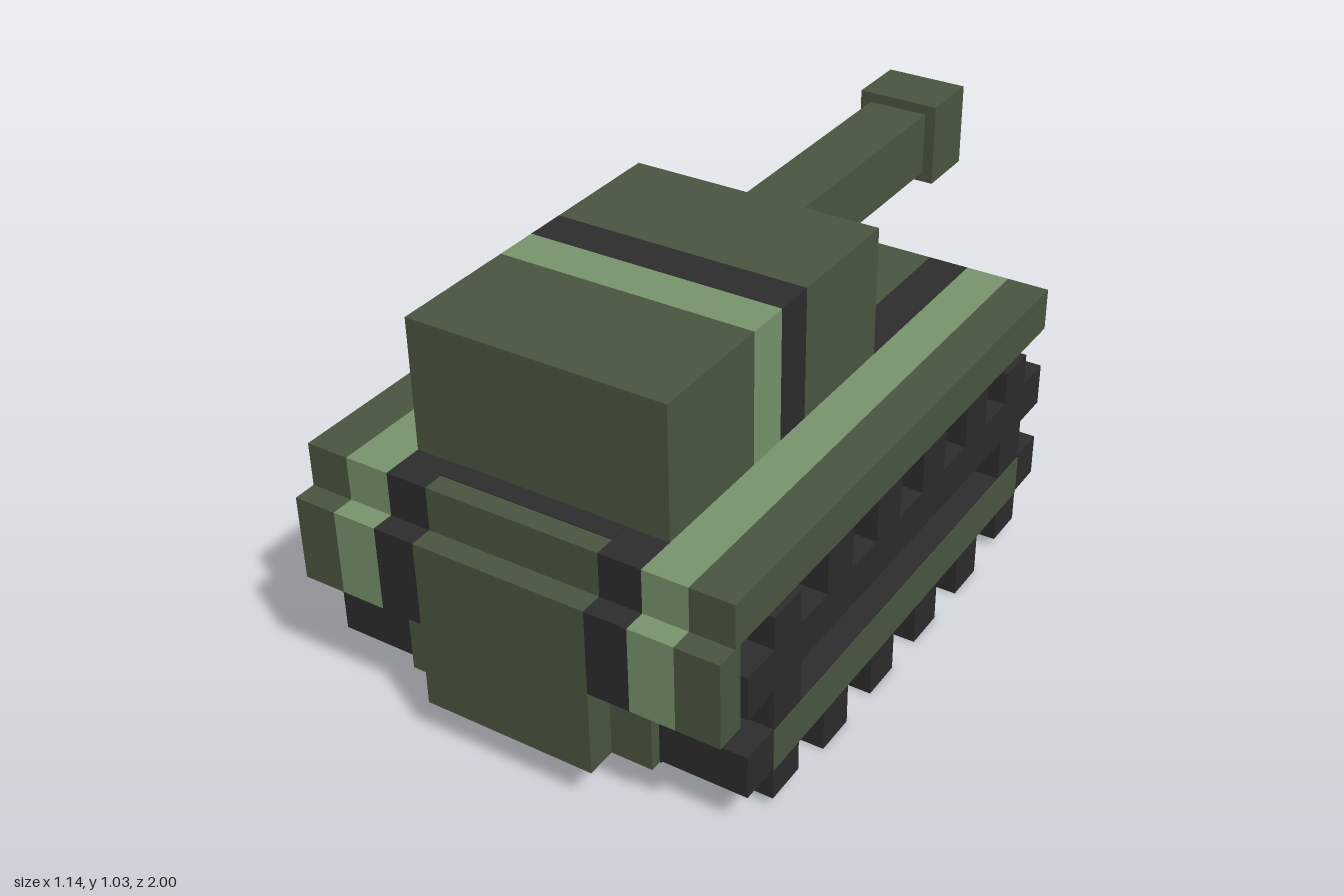
import * as THREE from 'three';

const green = new THREE.MeshStandardMaterial({ color: 0x4b5741 });
green.name = 'armour green';
const light = new THREE.MeshStandardMaterial({ color: 0x79956f });
light.name = 'stripe light green';
const dark = new THREE.MeshStandardMaterial({ color: 0x2d2d2d });
dark.name = 'track black';

// Box given by its min and max on each axis
function box(parent, name, material, x0, x1, y0, y1, z0, z1) {
  const mesh = new THREE.Mesh(new THREE.BoxGeometry(x1 - x0, y1 - y0, z1 - z0), material);
  mesh.position.set((x0 + x1) / 2, (y0 + y1) / 2, (z0 + z1) / 2);
  mesh.name = name;
  parent.add(mesh);
  return mesh;
}

// Same box on both sides of the model
function pair(parent, name, material, x0, x1, ...yz) {
  box(parent, name + 'Left', material, x0, x1, ...yz);
  box(parent, name + 'Right', material, -x1, -x0, ...yz);
}

function addGroup(parent, name) {
  const group = new THREE.Group();
  group.name = name;
  parent.add(group);
  return group;
}

function buildHull(model) {
  const hull = addGroup(model, 'hull');
  box(hull, 'hullCentre', green, -0.23, 0.23, 0.115, 0.57, -0.6, 1);
  pair(hull, 'hullSide', green, 0.23, 0.34, 0.115, 0.57, -0.49, 0.92);

  // Deck and front apron, made of lengthwise colour strips
  box(hull, 'deckCentre', green, -0.23, 0.23, 0.57, 0.685, -0.6, 0.94);
  const strips = [
    ['Inner', dark, 0.23, 0.34],
    ['Middle', light, 0.34, 0.457],
    ['Outer', green, 0.457, 0.57],
  ];
  for (const [name, material, x0, x1] of strips) {
    pair(hull, 'deck' + name, material, x0, x1, 0.57, 0.685, -0.6, 0.94);
    pair(hull, 'apron' + name, material, x0, x1, 0.345, 0.57, 0.92, 1);
  }

  // Painted bands on the deck, before and behind the turret
  box(hull, 'rearLightBand', light, -0.23, 0.23, 0.683, 0.687, -0.26, -0.145);
  box(hull, 'rearDarkBand', dark, -0.23, 0.23, 0.683, 0.687, -0.145, -0.08);
  box(hull, 'frontDarkBand', dark, -0.23, 0.23, 0.683, 0.687, 0.83, 0.885);

  // Dark paint behind the track gaps
  pair(hull, 'trackShadowPlate', dark, 0.34, 0.344, 0.455, 0.57, -0.49, 0.78);
  pair(hull, 'frontTrackPlate', dark, 0.34, 0.344, 0.115, 0.455, 0.78, 0.89);
}

function buildTurret(model) {
  const turret = addGroup(model, 'turret');
  const sections = [
    ['turretRear', green, -0.08, 0.26],
    ['turretDarkBand', dark, 0.26, 0.37],
    ['turretLightBand', light, 0.37, 0.487],
    ['turretFront', green, 0.487, 0.83],
  ];
  for (const [name, material, z0, z1] of sections) {
    box(turret, name, material, -0.34, 0.34, 0.685, 1.03, z0, z1);
  }
  box(turret, 'barrel', green, -0.083, 0.083, 0.802, 0.973, -0.83, -0.08);
  box(turret, 'muzzle', green, -0.113, 0.113, 0.775, 1, -1, -0.83);
}

function buildTrack(model, name, x0, x1, sign) {
  const track = addGroup(model, name);
  const back = -0.49, front = 0.78;
  const part = (label, material, ...yz) => box(track, label, material, x0, x1, ...yz);

  // Frame around a deep side recess
  part('lowerRail', dark, 0.115, 0.23, back, front);
  part('upperRail', dark, 0.345, 0.455, back, front);
  part('frontPost', dark, 0.23, 0.345, 0.66, front);
  part('rearPost', dark, 0.23, 0.345, back, -0.37);
  const inner = sign > 0 ? [x0, x0 + 0.03] : [x1 - 0.03, x1];
  box(track, 'recessWall', dark, ...inner, 0.23, 0.345, -0.37, 0.66);
  const outer = sign > 0 ? [x1 - 0.003, x1 + 0.002] : [x0 - 0.002, x0 + 0.003];
  box(track, 'skirtPlate', green, ...outer, 0.115, 0.23, back, front);

  // Tread lugs along top and bottom
  for (let i = 0; i < 6; i++) {
    const z = 0.723 - i * 0.2315;
    const end = i === 0 || i === 5;
    part('bottomLug', dark, end ? 0.03 : 0, 0.115, z - 0.057, z + 0.057);
    part('topLug', dark, 0.455, end ? 0.545 : 0.569, z - 0.057, z + 0.057);
  }
  // Tread lugs at both ends
  for (const y of [0.12, 0.343]) {
    part('frontLug', dark, y, y + 0.115, front, 0.89);
    part('rearLug', dark, y, y + 0.115, -0.598, back);
  }
}

export function createModel() {
  const model = new THREE.Group();
  model.name = 'tank';
  buildHull(model);
  buildTurret(model);
  buildTrack(model, 'leftTrack', 0.34, 0.57, 1);
  buildTrack(model, 'rightTrack', -0.57, -0.34, -1);
  return model;
}
